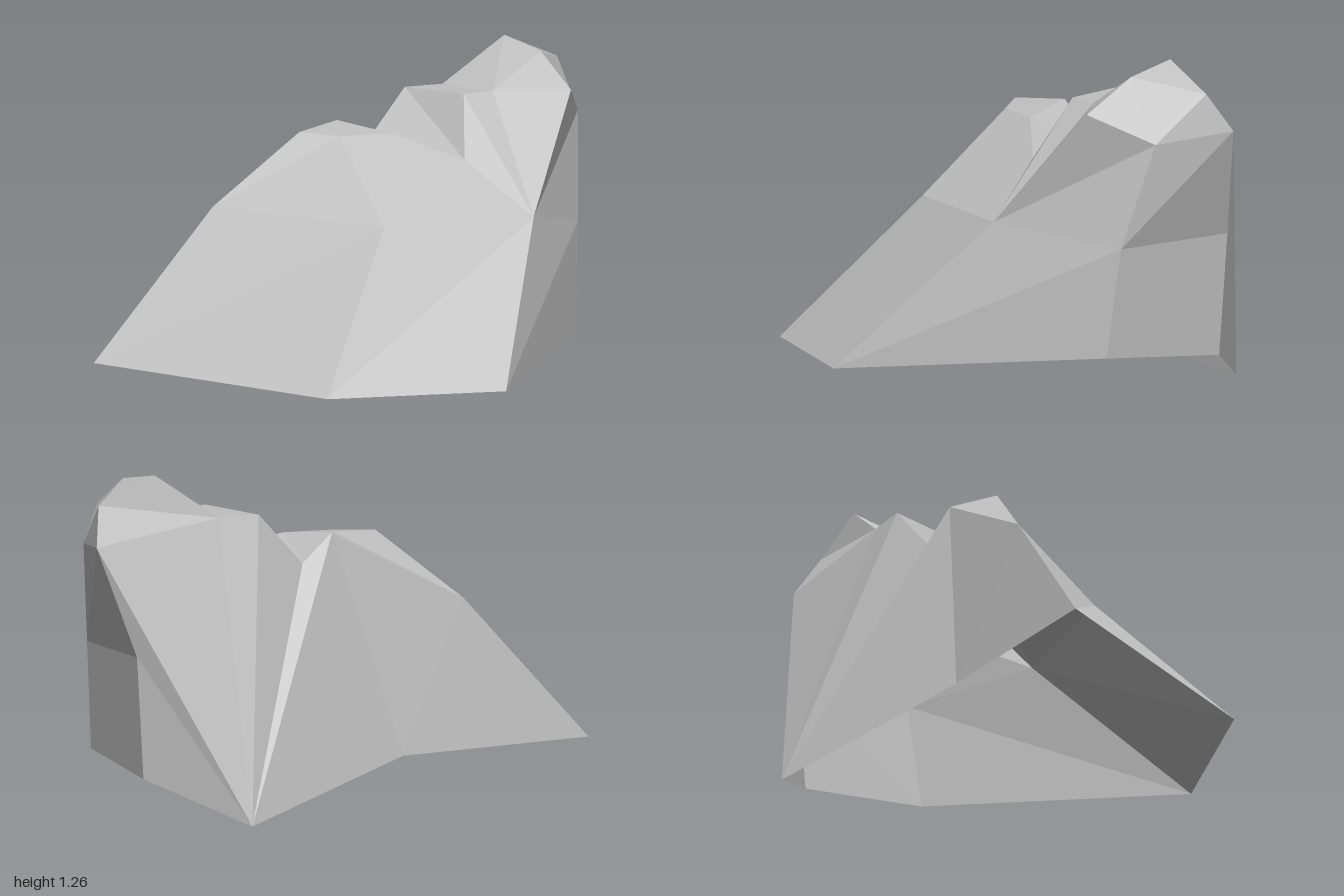
import * as THREE from 'three';

export function createModel() {
  const group = new THREE.Group();
  group.name = 'rock';
  const stone = new THREE.MeshStandardMaterial({
    color: 0xc0c0c0, flatShading: true, side: THREE.DoubleSide,
  });
  stone.name = 'grey stone';

  // Fan of triangles over a polygon
  const fan = (...p) => {
    const out = [];
    for (let i = 1; i < p.length - 1; i++) out.push(p[0], p[i], p[i + 1]);
    return out;
  };

  // Facets between two rows of points with equal counts
  const strip = (low, high) => {
    const out = [];
    for (let i = 0; i < low.length - 1; i++) out.push(...fan(low[i], low[i + 1], high[i + 1], high[i]));
    return out;
  };

  const addPart = (name, ...pieces) => {
    const geometry = new THREE.BufferGeometry();
    geometry.setAttribute('position', new THREE.Float32BufferAttribute(pieces.flat(2), 3));
    geometry.computeVertexNormals();
    const mesh = new THREE.Mesh(geometry, stone);
    mesh.name = name;
    group.add(mesh);
  };

  // Foot of the rock, from the back right corner round the front
  const foot = [[-1, 0.16, -0.56], [-0.69, 0.105, 0.42], [-0.07, 0.11, 0.7], [0.76, 0.19, 0.09], [0.84, 0.155, -0.39]];
  const backFoot = [0.57, 0, -0.71];
  const backFootRight = [-0.22, 0.157, -0.51];

  // Shoulder line halfway up
  const shoulder = [[-0.52, 0.71, -0.455], [-0.2, 0.67, 0.15], [0.38, 0.675, 0.31], [0.8, 0.6, 0.055], [0.875, 0.615, -0.4]];

  // Front and back edges of the crest, from the low top over the notch to the peak
  const crestFront = [[-0.13, 0.965, -0.195], [0.07, 0.965, -0.14], [0.28, 0.865, 0.03],
    [0.37, 1.09, -0.085], [0.5, 1.09, -0.075], [0.72, 1.22, -0.065]];
  const crestBack = [[-0.22, 0.975, -0.32], [0, 0.995, -0.37], [0.13, 0.89, -0.37],
    [0.32, 1.09, -0.367], [0.48, 1.09, -0.343], [0.71, 1.26, -0.265]];

  // Rim of the peak on the left side
  const peakFront = [0.7, 1.1, 0.135];
  const peakSide = [0.88, 0.99, -0.045];
  const peakCorner = [0.94, 1.165, -0.24];
  const peakBack = [1, 1.025, -0.32];

  addPart('lowerFlanks', strip(foot, shoulder));

  addPart('crest', strip(crestFront, crestBack));

  addPart('frontFace',
    strip([shoulder[0], shoulder[1]], [crestBack[0], crestFront[0]]),
    fan(shoulder[1], shoulder[2], crestFront[2], crestFront[1], crestFront[0]),
    fan(crestFront[2], shoulder[2], crestFront[3]),
    fan(crestFront[3], shoulder[2], crestFront[4]),
    fan(crestFront[4], shoulder[2], peakFront, crestFront[5]));

  addPart('peak',
    strip(shoulder.slice(2), [peakFront, peakSide, peakBack]),
    fan(crestFront[5], peakFront, peakSide, peakCorner),
    fan(crestBack[5], crestFront[5], peakCorner),
    fan(peakCorner, peakSide, peakBack),
    fan(crestBack[4], crestBack[5], peakCorner, peakBack));

  // Steep back wall spreading from its lowest point
  addPart('backWall',
    fan(backFoot, backFootRight, ...crestBack.slice(1, 5), peakBack, shoulder[4], foot[4]),
    fan(backFootRight, foot[0], shoulder[0], crestBack[1]),
    fan(crestBack[1], shoulder[0], crestBack[0]));

  return group;
}
